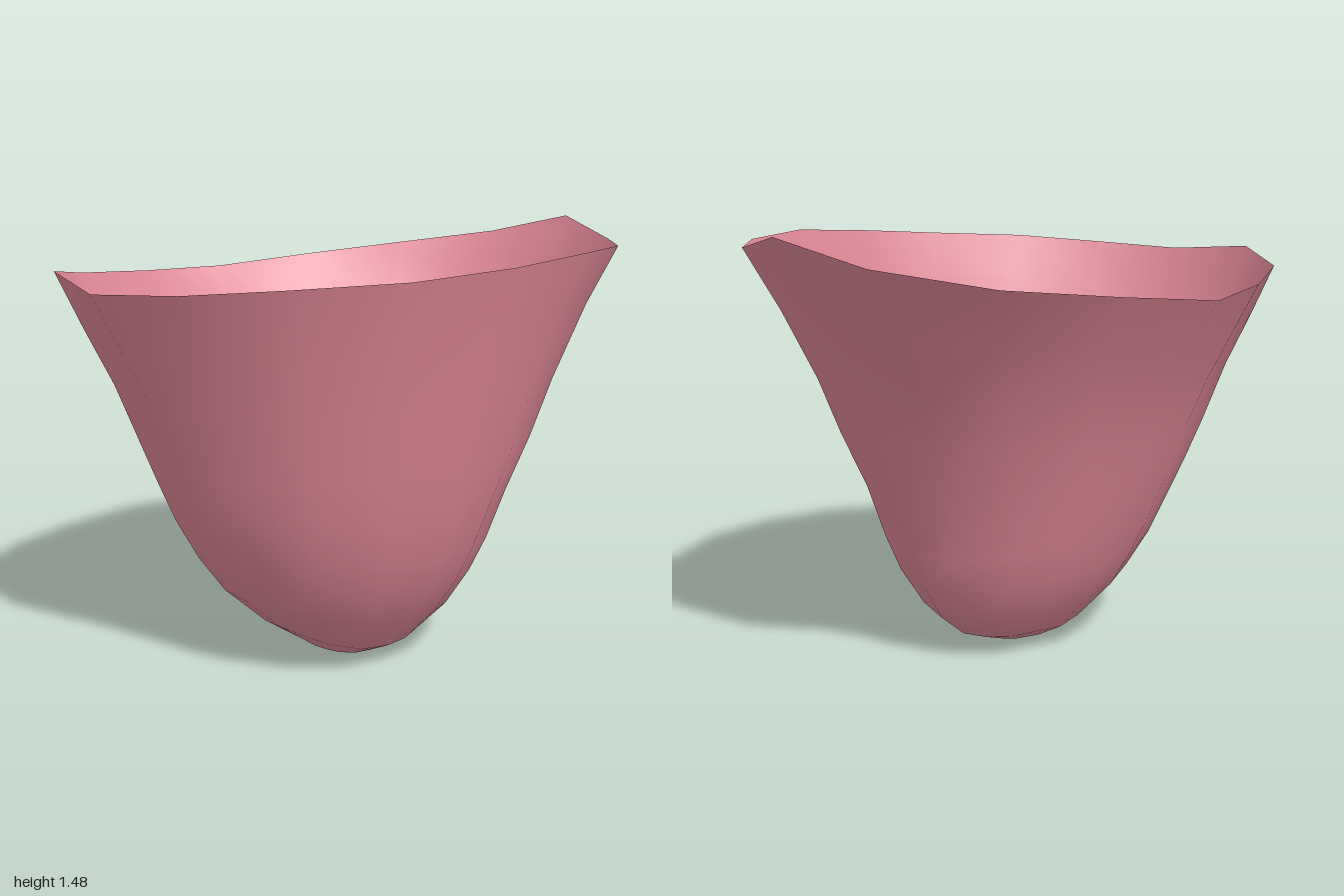
import * as THREE from 'three';

// Rim corners, going round from the back: x, z, height
const rim = [
  [0.05, -1, 1.48], [0.39, -0.86, 1.43], [0.62, -0.65, 1.44], [0.78, -0.32, 1.455],
  [0.82, 0.02, 1.44], [0.76, 0.36, 1.42], [0.59, 0.67, 1.405], [0.35, 0.88, 1.38],
  [0.05, 1, 1.36], [-0.32, 0.94, 1.385], [-0.58, 0.72, 1.335], [-0.73, 0.38, 1.3],
  [-0.82, 0.01, 1.28], [-0.73, -0.35, 1.31], [-0.58, -0.71, 1.345], [-0.28, -0.93, 1.4],
];

// Wall profiles from the base to the rim: radius, height
const sides = {
  left: [[0.115, 0.013], [0.225, 0.07], [0.344, 0.207], [0.423, 0.335], [0.485, 0.46],
    [0.542, 0.617], [0.587, 0.775], [0.65, 1.01], [0.72, 1.28], [0.77, 1.44]],
  right: [[0.12, 0.013], [0.224, 0.07], [0.343, 0.2], [0.413, 0.326], [0.46, 0.43],
    [0.537, 0.61], [0.615, 0.81], [0.69, 0.97], [0.78, 1.13], [0.87, 1.28]],
  front: [[0.143, 0.03], [0.292, 0.14], [0.426, 0.267], [0.51, 0.39], [0.586, 0.54],
    [0.63, 0.65], [0.67, 0.75], [0.757, 0.984], [0.85, 1.17], [0.945, 1.36]],
  back: [[0.135, 0.01], [0.275, 0.06], [0.38, 0.144], [0.47, 0.283], [0.52, 0.41],
    [0.59, 0.615], [0.7, 0.834], [0.777, 1.016], [0.91, 1.25], [1.05, 1.48]],
};
const CENTRE = 0.05, RINGS = 10, COLS = rim.length;

// Point on a ring, blending the two nearest side profiles
function wallPoint(ring, col) {
  const [rx, rz, rh] = rim[col];
  const px = rx >= CENTRE ? sides.left : sides.right;
  const pz = rz >= CENTRE ? sides.front : sides.back;
  const ux = (rx - CENTRE) / px[RINGS - 1][0];
  const uz = (rz - CENTRE) / pz[RINGS - 1][0];
  const w = ux * ux / (ux * ux + uz * uz);
  const mix = (k) => px[k][1] * w + pz[k][1] * (1 - w);
  const t = (ring + 1) / RINGS;
  // below the rim the wall is fuller at the front corners, mostly on the right
  const fullness = ux < 0 ? 0.055 : 0.02;
  const bulge = 1 + fullness * Math.sign(uz) * Math.abs(2 * ux * uz) * (1 - t ** 4);
  return [
    CENTRE + ux * px[ring][0] * bulge,
    mix(ring) + (rh - mix(RINGS - 1)) * t * t,
    CENTRE + uz * pz[ring][0] * bulge,
  ];
}

export function createModel() {
  const positions = [CENTRE, 0, CENTRE];
  const index = [];
  const id = (ring, col) => 1 + ring * COLS + (col % COLS);

  for (let r = 0; r < RINGS; r++) {
    for (let c = 0; c < COLS; c++) positions.push(...wallPoint(r, c));
  }
  for (let c = 0; c < COLS; c++) {
    // rounded base
    index.push(0, id(0, c), id(0, c + 1));
    // wall strips
    for (let r = 0; r < RINGS - 1; r++) {
      const a = id(r, c), b = id(r, c + 1), d = id(r + 1, c), e = id(r + 1, c + 1);
      index.push(a, d, b, b, d, e);
    }
  }

  const geometry = new THREE.BufferGeometry();
  geometry.setAttribute('position', new THREE.Float32BufferAttribute(positions, 3));
  geometry.setIndex(index);
  geometry.computeVertexNormals();

  const pink = new THREE.MeshStandardMaterial({ color: 0xe28a98, side: THREE.DoubleSide });
  pink.name = 'dustyPink';
  const cup = new THREE.Mesh(geometry, pink);
  cup.name = 'cupShell';

  const model = new THREE.Group();
  model.name = 'openCup';
  model.add(cup);
  return model;
}
